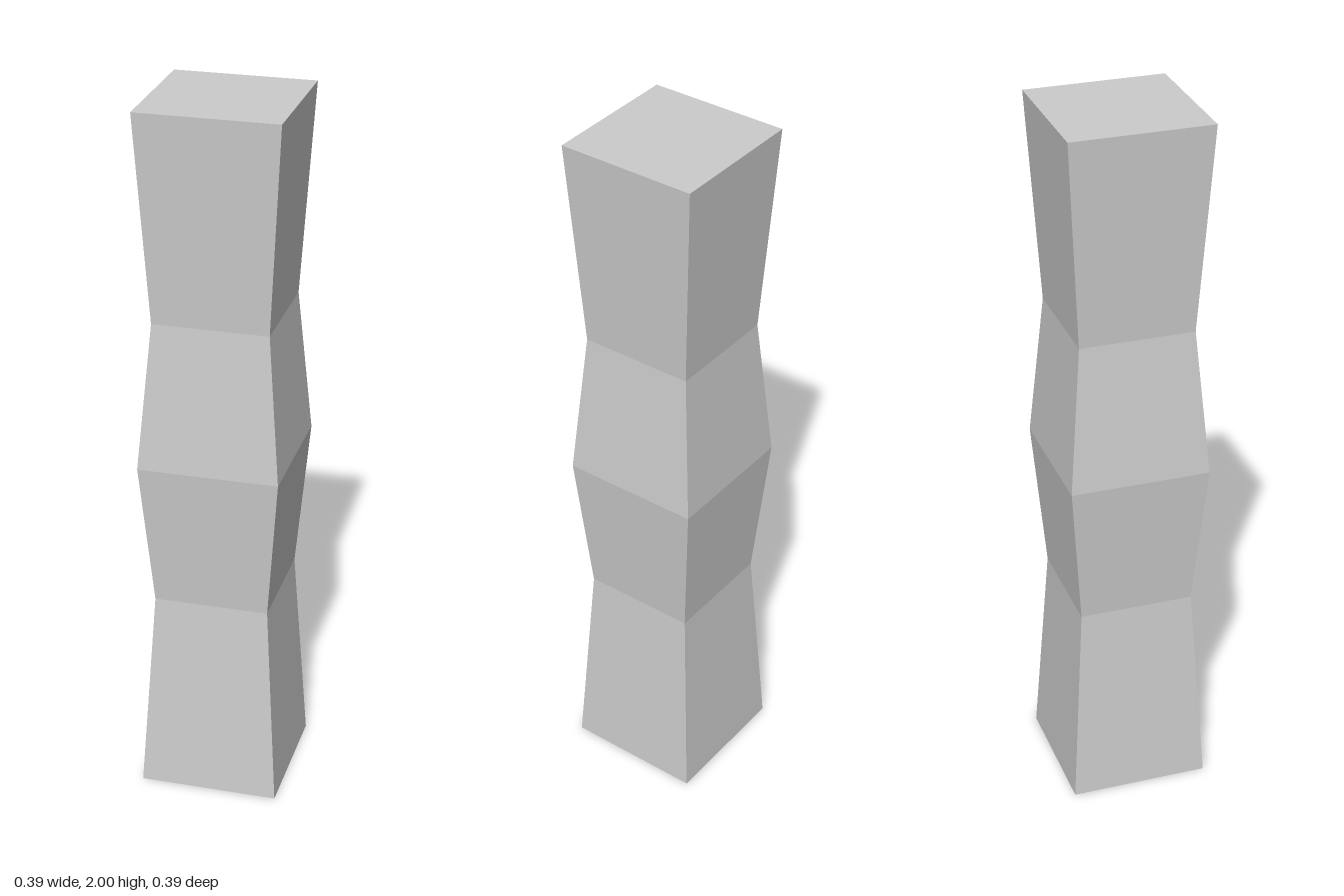
import * as THREE from 'three';

export function createModel() {
  const group = new THREE.Group();
  group.name = 'pillar';

  // Half-width and height of each square section, bottom to top; the last closes the top
  const sections = [[0.196, 0], [0.161, 0.585], [0.196, 1], [0.161, 1.415], [0.196, 2], [0, 2]];
  const profile = sections.map(([half, y]) => new THREE.Vector2(half * Math.SQRT2, y));

  // Four-sided hollow shaft, open at the bottom
  const shaft = new THREE.Mesh(
    new THREE.LatheGeometry(profile, 4, Math.PI / 4),
    new THREE.MeshStandardMaterial({ color: 0xcccccc, flatShading: true, side: THREE.DoubleSide })
  );
  shaft.name = 'shaft';
  group.add(shaft);
  return group;
}
